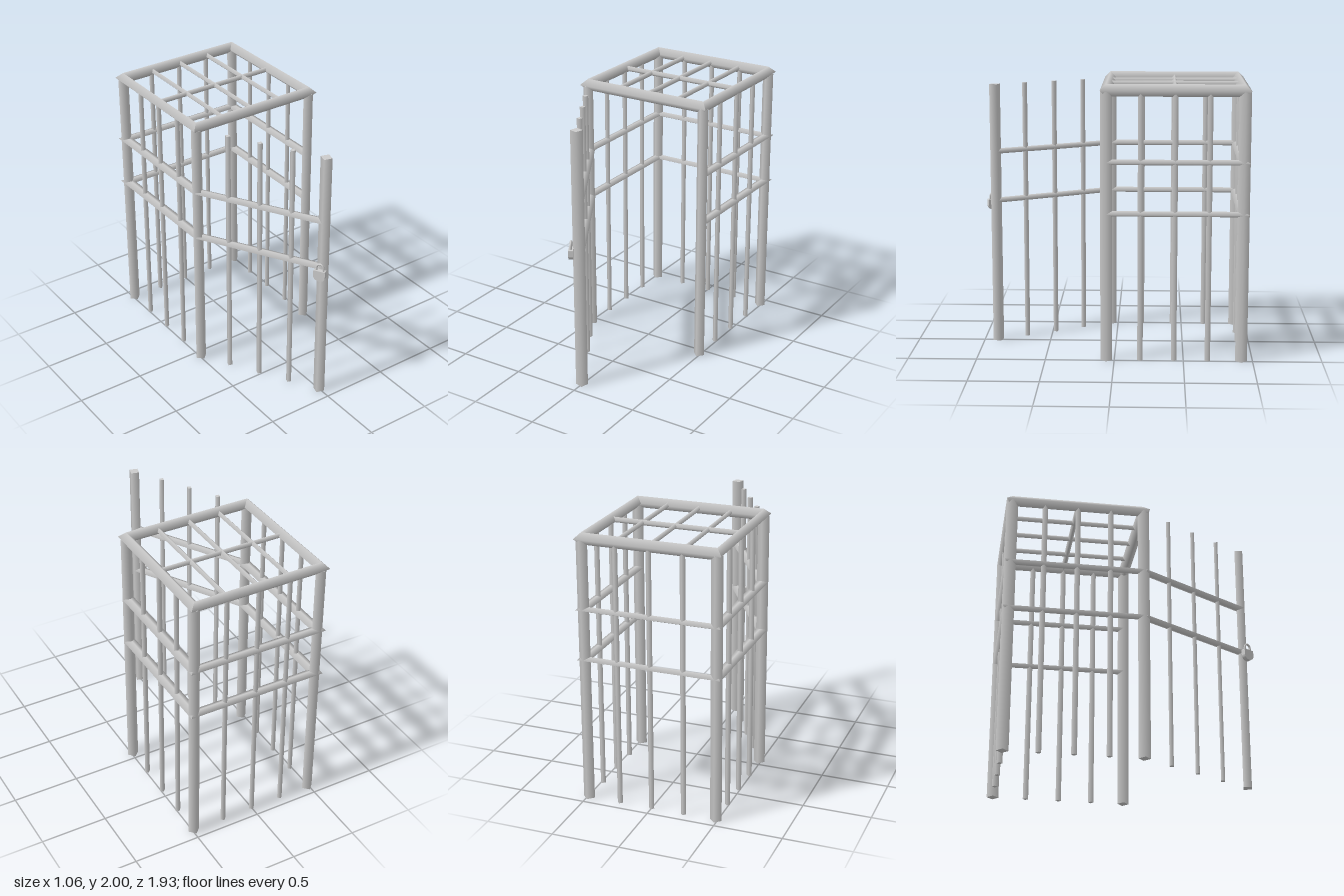
import * as THREE from 'three';

const metal = new THREE.MeshStandardMaterial({ color: 0xcccccc });
const HALF = 0.487;          // half the distance between corner posts
const MID_Z = -0.43;         // centre of the cage
const BACK = MID_Z - HALF, FRONT = MID_Z + HALF;
const POST_R = 0.043, BAR_R = 0.02, POST_H = 1.95;
const RAIL_Y = [1.08, 1.45], TOP_Y = 1.957;

function add(parent, name, geometry) {
  const mesh = new THREE.Mesh(geometry, metal);
  mesh.name = name;
  parent.add(mesh);
  return mesh;
}

// Upright four-sided bar standing on the ground
function upright(parent, name, x, z, r) {
  const mesh = add(parent, name, new THREE.CylinderGeometry(r, r, POST_H, 4));
  mesh.position.set(x, POST_H / 2, z);
}

// Level bar of diamond section from a to b ([x, z]); mitred ends slant outwards on its local +x side
function rail(parent, name, a, b, y, rWide, rHigh, mitreA = false, mitreB = false) {
  const dx = b[0] - a[0], dz = b[1] - a[1];
  const geo = new THREE.CylinderGeometry(1, 1, Math.hypot(dx, dz), 4);
  geo.rotateX(Math.PI / 2);
  geo.scale(rWide, rHigh, 1);
  const p = geo.attributes.position;
  for (let i = 0; i < p.count; i++) {
    const z = p.getZ(i);
    if (z < 0 && mitreA) p.setZ(i, z - p.getX(i));
    if (z > 0 && mitreB) p.setZ(i, z + p.getX(i));
  }
  const mesh = add(parent, name, geo);
  mesh.position.set((a[0] + b[0]) / 2, y, (a[1] + b[1]) / 2);
  mesh.rotation.y = Math.atan2(dx, dz);
}

function createPadlock() {
  const lock = new THREE.Group();
  lock.name = 'padlock';
  // Body: flat top, rounded bottom
  const s = new THREE.Shape();
  s.moveTo(-0.038, 0.083);
  s.lineTo(0.038, 0.083);
  s.quadraticCurveTo(0.044, 0.083, 0.044, 0.075);
  s.lineTo(0.044, 0.035);
  s.bezierCurveTo(0.04, 0.012, 0.02, 0, 0, 0);
  s.bezierCurveTo(-0.02, 0, -0.04, 0.012, -0.044, 0.035);
  s.lineTo(-0.044, 0.075);
  s.quadraticCurveTo(-0.044, 0.083, -0.038, 0.083);
  const body = new THREE.ExtrudeGeometry(s, { depth: 0.034, bevelEnabled: false, curveSegments: 8 });
  body.translate(0, 0, -0.017);
  add(lock, 'padlockBody', body);
  // Shackle: two legs joined by an arch
  const points = [new THREE.Vector3(-0.026, 0.07, 0)];
  for (let i = 0; i <= 8; i++) {
    const t = Math.PI * (1 - i / 8);
    points.push(new THREE.Vector3(0.026 * Math.cos(t), 0.1 + 0.032 * Math.sin(t), 0));
  }
  points.push(new THREE.Vector3(0.026, 0.07, 0));
  add(lock, 'padlockShackle',
    new THREE.TubeGeometry(new THREE.CatmullRomCurve3(points), 24, 0.008, 8));
  return lock;
}

function createGate() {
  const gate = new THREE.Group();
  gate.name = 'gate';
  const length = 0.968;
  for (const y of RAIL_Y) rail(gate, 'gateRail', [0, 0], [0, length], y, POST_R, BAR_R);
  for (let i = 1; i <= 3; i++) upright(gate, 'gateBar', 0, length * i / 4, BAR_R);
  upright(gate, 'gatePost', 0, length, POST_R);
  const lock = createPadlock();
  lock.position.set(-0.055, 1.0, length);
  lock.rotation.y = -Math.PI / 2;
  gate.add(lock);
  // Swung open about the front right post
  gate.position.set(-HALF, 0, FRONT);
  gate.rotation.y = Math.PI / 6;
  return gate;
}

export function createModel() {
  const model = new THREE.Group();
  model.name = 'cage';
  const corners = [[HALF, BACK], [HALF, FRONT], [-HALF, FRONT], [-HALF, BACK]];

  // Corner posts and mitred top frame
  corners.forEach((c, i) => {
    upright(model, 'cornerPost', c[0], c[1], POST_R);
    rail(model, 'topFrame', c, corners[(i + 1) % 4], TOP_Y, POST_R, POST_R, true, true);
  });

  // Flat middle rails round the sides and back
  for (const y of RAIL_Y) {
    rail(model, 'sideRail', corners[2], corners[3], y, POST_R, BAR_R, false, true);
    rail(model, 'backRail', corners[3], corners[0], y, POST_R, BAR_R, true, true);
    rail(model, 'sideRail', corners[0], corners[1], y, POST_R, BAR_R, true, false);
  }

  // Thin bars of the walls and roof
  for (let i = -1; i <= 1; i++) {
    const d = i * HALF / 2;
    upright(model, 'backBar', d, BACK, BAR_R);
    for (const side of [-1, 1]) upright(model, 'sideBar', side * HALF, MID_Z + d, BAR_R);
    rail(model, 'roofBar', [d, BACK], [d, FRONT], TOP_Y, BAR_R, BAR_R);
  }
  rail(model, 'roofCrossBar', [-HALF, MID_Z], [HALF, MID_Z], TOP_Y, BAR_R, BAR_R);

  model.add(createGate());
  return model;
}
